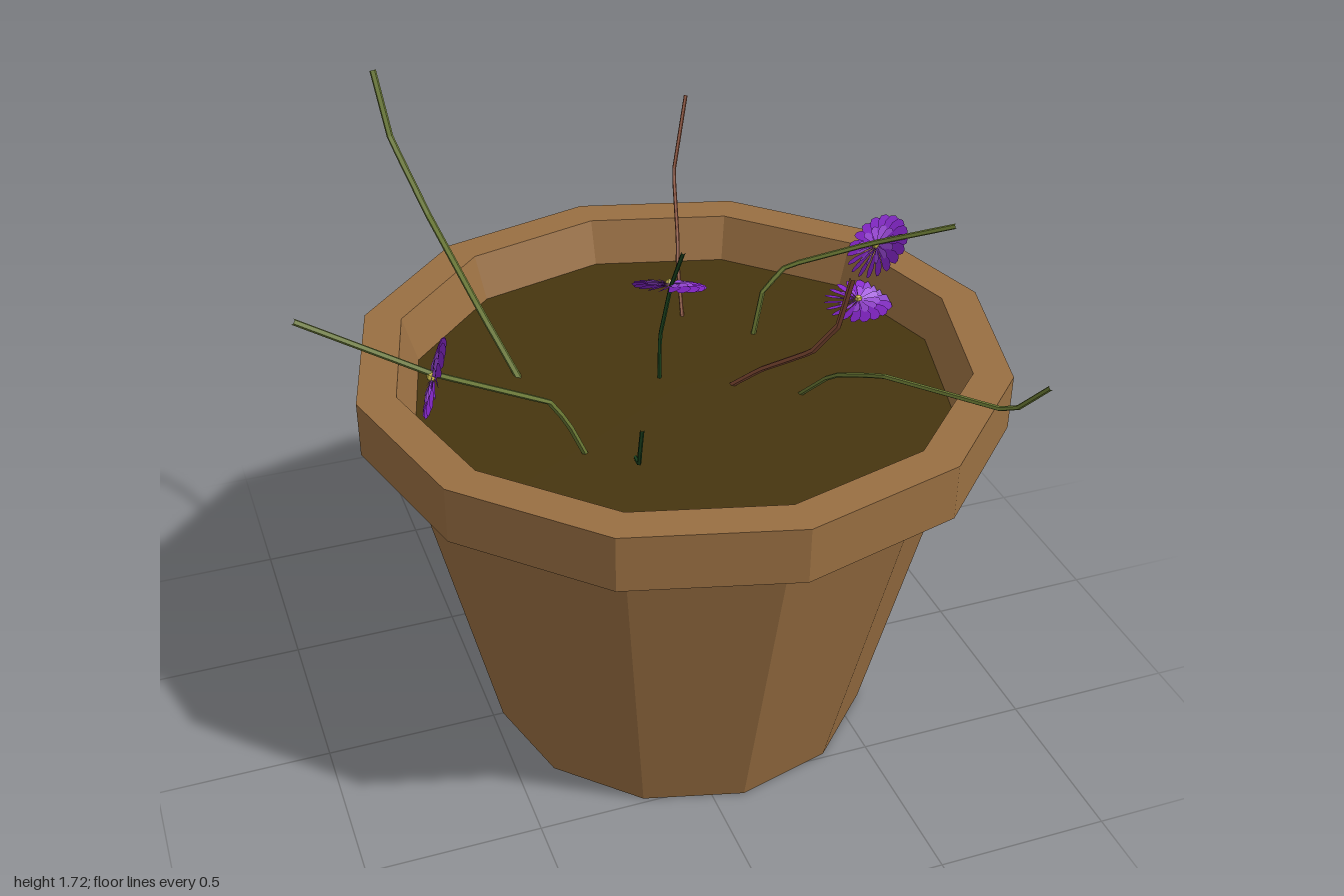
import * as THREE from 'three';

const mat = (color, side = THREE.FrontSide) =>
  new THREE.MeshStandardMaterial({ color, flatShading: true, side });

const clay = mat(0x996f42);
const earth = mat(0x46350f);
const green = mat(0x6b7a35);
const darkGreen = mat(0x1f4a22);
const russet = mat(0x8a5038);
const purple = mat(0x8426c8, THREE.DoubleSide);
const violet = mat(0x9a48d8, THREE.DoubleSide);
const yellow = mat(0xc8b84a);

const POT_X = 0.09;

// Angular stem through a few points
function stem(name, points, material, radius = 0.008) {
  const curve = new THREE.CatmullRomCurve3(
    points.map(p => new THREE.Vector3(...p)), false, 'catmullrom', 0);
  const mesh = new THREE.Mesh(
    new THREE.TubeGeometry(curve, (points.length - 1) * 4, radius, 5), material);
  mesh.name = name;
  return mesh;
}

// Narrow petal with a blunt tip, lying along +x in the xz plane
function petalGeometry(length, width) {
  const s = new THREE.Shape();
  s.moveTo(0, 0);
  s.lineTo(length * 0.75, -width / 2);
  s.lineTo(length * 0.94, -width * 0.36);
  s.lineTo(length, 0);
  s.lineTo(length * 0.94, width * 0.36);
  s.lineTo(length * 0.75, width / 2);
  return new THREE.ShapeGeometry(s).rotateX(-Math.PI / 2);
}

// Ring of twisted petals round a small centre, facing along the given normal
function flower(name, position, normal) {
  const group = new THREE.Group();
  group.name = name;
  const rings = [
    { count: 18, length: 0.103, width: 0.036, y: 0, material: purple },
    { count: 12, length: 0.065, width: 0.022, y: 0.007, material: violet },
  ];
  for (const ring of rings) {
    const geometry = petalGeometry(ring.length, ring.width).rotateX(0.45);
    for (let i = 0; i < ring.count; i++) {
      const petal = new THREE.Mesh(geometry, ring.material);
      petal.name = 'petal';
      petal.position.y = ring.y;
      petal.rotation.y = (i / ring.count) * Math.PI * 2;
      group.add(petal);
    }
  }
  const centre = new THREE.Mesh(new THREE.SphereGeometry(0.012, 6, 4), yellow);
  centre.name = 'flowerCentre';
  centre.position.y = 0.008;
  group.add(centre);
  group.position.set(...position);
  group.quaternion.setFromUnitVectors(
    new THREE.Vector3(0, 1, 0), new THREE.Vector3(...normal).normalize());
  return group;
}

export function createModel() {
  const model = new THREE.Group();
  model.name = 'flowerPot';

  // Twelve-sided pot with an overhanging rim and a hollow top
  const profile = [[0, 0], [0.56, 0], [0.8, 1.02], [0.908, 1.02],
    [0.908, 1.18], [0.8, 1.18], [0.755, 1.04]].map(p => new THREE.Vector2(...p));
  const pot = new THREE.Mesh(new THREE.LatheGeometry(profile, 12), clay);
  pot.name = 'pot';
  pot.position.x = POT_X;
  model.add(pot);

  const soil = new THREE.Mesh(
    new THREE.CircleGeometry(0.76, 12).rotateX(-Math.PI / 2), earth);
  soil.name = 'soil';
  soil.position.set(POT_X, 1.05, 0);
  model.add(soil);

  // Stems
  model.add(
    stem('rightFlowerStem', [[-0.26, 1.04, 0.23], [-0.32, 1.18, 0.26],
      [-0.37, 1.26, 0.28], [-0.68, 1.45, 0.355], [-1.0, 1.66, 0.36]], green),
    stem('backStem', [[-0.32, 1.04, -0.19], [-0.38, 1.18, -0.36], [-0.45, 1.36, -0.66],
      [-0.51, 1.54, -0.82], [-0.53, 1.72, -0.9]], green, 0.01),
    stem('frontRussetStem', [[0.23, 1.04, 0.03], [0.25, 1.18, 0.19], [0.27, 1.39, 0.47],
      [0.28, 1.53, 0.59], [0.28, 1.69, 0.65]], russet),
    stem('backRussetStem', [[0.23, 1.04, -0.36], [0.25, 1.18, -0.46], [0.265, 1.23, -0.5],
      [0.32, 1.36, -0.69], [0.39, 1.56, -0.78]], russet, 0.006),
    stem('frontLeftStem', [[0.39, 1.04, 0.14], [0.42, 1.18, 0.28], [0.49, 1.25, 0.43],
      [0.7, 1.28, 0.74], [0.76, 1.38, 0.81]], green, 0.007),
    stem('leftFlowerStem', [[0.39, 1.04, -0.2], [0.42, 1.18, -0.21], [0.49, 1.25, -0.21],
      [0.7, 1.34, -0.1], [0.89, 1.43, 0.04]], green),
    stem('centreFlowerStem', [[0.05, 1.04, -0.06], [0.05, 1.18, -0.06],
      [0.07, 1.35, -0.03], [0.08, 1.49, 0.04]], darkGreen, 0.006),
    stem('sproutStem', [[-0.14, 1.04, 0.28], [-0.17, 1.1, 0.4],
      [-0.195, 1.18, 0.475], [-0.2, 1.28, 0.51]], darkGreen, 0.006));

  // Flowers
  model.add(
    flower('rightFlower', [-0.68, 1.445, 0.365], [-0.92, 0.3, -0.28]),
    flower('centreFlower', [0.07, 1.35, -0.04], [0.17, 0.93, -0.33]),
    flower('leftFlower', [0.725, 1.325, -0.105], [-0.7, 0.7, 0.1]),
    flower('lowFlower', [0.73, 1.09, -0.21], [-0.1, 0.98, 0.1]));

  return model;
}
